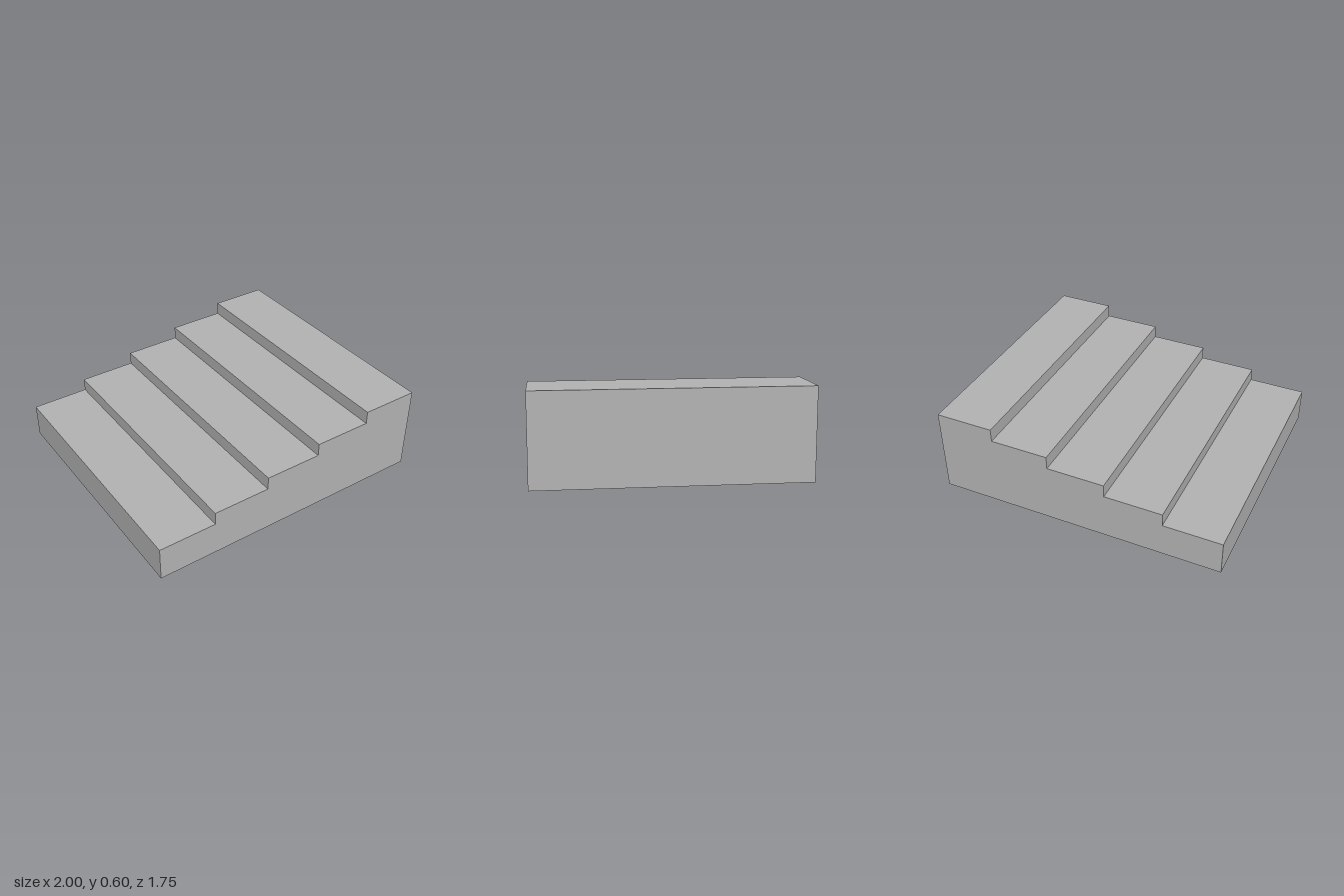
import * as THREE from 'three';

const STEPS = 5, WIDTH = 2, DEPTH = 1.75, LOW = 0.24, RISE = 0.09;

export function createModel() {
  const group = new THREE.Group();
  group.name = 'steppedPlatform';
  const stone = new THREE.MeshStandardMaterial({ color: 0xb2b2b2 });
  stone.name = 'plain grey';

  // Stair profile: flat base, treads rising towards +x
  const tread = WIDTH / STEPS;
  const profile = new THREE.Shape();
  profile.moveTo(-WIDTH / 2, 0);
  profile.lineTo(WIDTH / 2, 0);
  for (let i = STEPS - 1; i >= 0; i--) {
    const x = -WIDTH / 2 + i * tread, y = LOW + i * RISE;
    profile.lineTo(x + tread, y);
    profile.lineTo(x, y);
  }
  profile.closePath();

  // One solid block, centred front to back
  const geometry = new THREE.ExtrudeGeometry(profile, { depth: DEPTH, bevelEnabled: false });
  geometry.translate(0, 0, -DEPTH / 2);
  const steps = new THREE.Mesh(geometry, stone);
  steps.name = 'steps';
  group.add(steps);
  return group;
}
